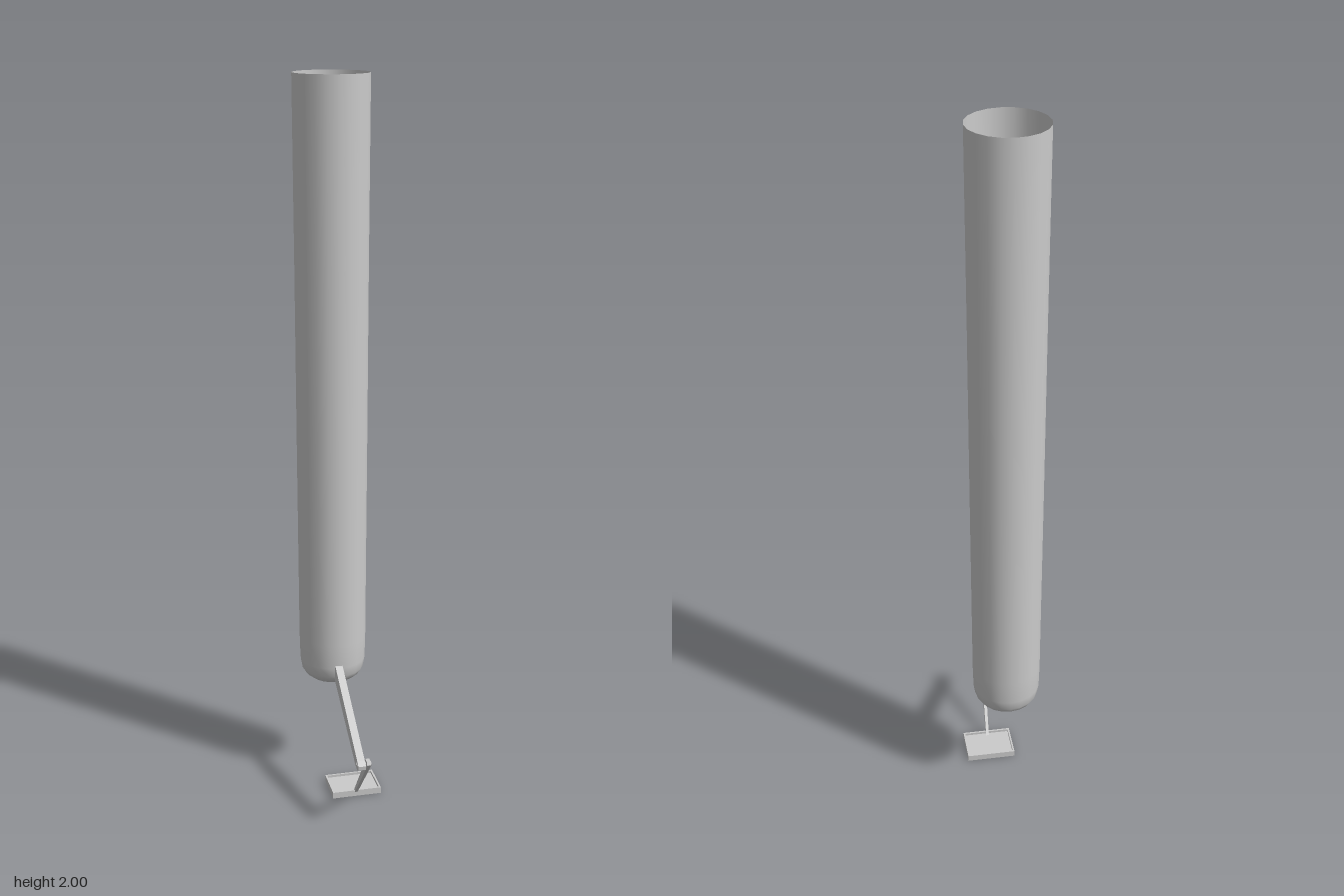
import * as THREE from 'three';

const grey = new THREE.MeshStandardMaterial({ color: 0xcccccc, side: THREE.DoubleSide });

export function createModel() {
  const group = new THREE.Group();

  function add(name, geometry, x = 0, y = 0, z = 0) {
    const mesh = new THREE.Mesh(geometry, grey);
    mesh.name = name;
    mesh.position.set(x, y, z);
    group.add(mesh);
    return mesh;
  }

  // Flat bar from a side profile of [z, y] points, given a width along x
  function sideBar(name, points, width, x) {
    const shape = new THREE.Shape(points.map(([z, y]) => new THREE.Vector2(z, y)));
    const geo = new THREE.ExtrudeGeometry(shape, { depth: width, bevelEnabled: false });
    geo.translate(0, 0, -width / 2).rotateY(-Math.PI / 2);
    return add(name, geo, x);
  }

  // Open-topped tube with a rounded bottom
  const profile = [
    [0.016, 0.294], [0.04, 0.297], [0.062, 0.304], [0.078, 0.316], [0.088, 0.332],
    [0.093, 0.36], [0.095, 0.43], [0.098, 1.0], [0.1, 1.5], [0.103, 2],
  ].map(([r, y]) => new THREE.Vector2(r, y));
  add('tube', new THREE.LatheGeometry(profile, 20), 0, 0, -0.135);

  // Small hollow nozzle under the tube
  const nozzle = [[0.006, 0.286], [0.006, 0.278], [0.012, 0.28], [0.015, 0.286], [0.016, 0.294], [0.013, 0.297], [0.006, 0.286]]
    .map(([r, y]) => new THREE.Vector2(r, y));
  add('nozzle', new THREE.LatheGeometry(nozzle, 14), 0, 0, -0.135);

  // Upper arm, wide at the tube and narrow at the elbow
  sideBar('upperArm', [
    [-0.072, 0.34], [-0.04, 0.318], [0.2, 0.187], [0.222, 0.181], [0.235, 0.188],
    [0.236, 0.199], [0.222, 0.209], [-0.04, 0.368], [-0.072, 0.372],
  ], 0.021, -0.002);

  // Elbow pin
  const pin = new THREE.CylinderGeometry(0.006, 0.006, 0.041, 10).rotateZ(Math.PI / 2);
  add('elbowPin', pin, 0.0065, 0.196, 0.217);

  // Lower arm, leaning outwards down to the pad
  const lower = sideBar('lowerArm', [
    [0.033, 0.01], [0.045, 0.01], [0.225, 0.188], [0.236, 0.2],
    [0.231, 0.21], [0.215, 0.21], [0.207, 0.197],
  ], 0.011, 0);
  const pos = lower.geometry.attributes.position;
  for (let i = 0; i < pos.count; i++) {
    const t = (0.21 - pos.getY(i)) / 0.2;
    pos.setX(i, pos.getX(i) * (1 - 0.25 * t) + 0.017 + 0.011 * t);
  }
  lower.geometry.computeVertexNormals();

  // Foot pad with a raised rim
  add('pad', new THREE.BoxGeometry(0.138, 0.011, 0.102), 0.03, 0.0055, -0.004);
  for (const s of [-1, 1]) {
    add('padRimSide', new THREE.BoxGeometry(0.005, 0.018, 0.104), 0.03 + s * 0.0675, 0.009, -0.004);
    add('padRimEnd', new THREE.BoxGeometry(0.14, 0.018, 0.005), 0.03, 0.009, -0.004 + s * 0.0495);
  }

  return group;
}
